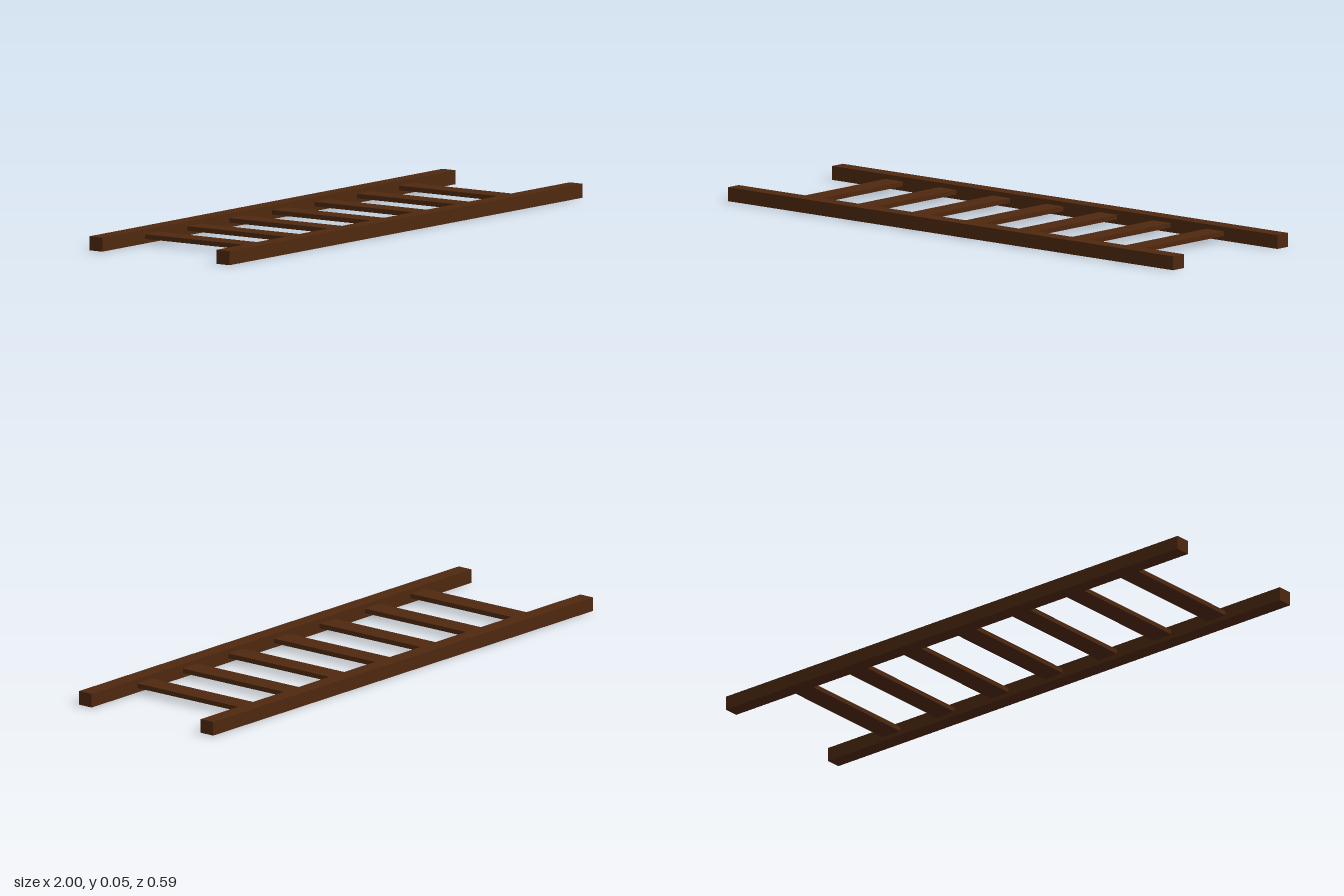
import * as THREE from 'three';

export function createModel() {
  const ladder = new THREE.Group();
  ladder.name = 'ladder';
  const wood = new THREE.MeshStandardMaterial({ color: 0x50290f });

  const addBeam = (name, size, position) => {
    const beam = new THREE.Mesh(new THREE.BoxGeometry(...size), wood);
    beam.name = name;
    beam.position.set(...position);
    ladder.add(beam);
  };

  // Two long side rails
  const railHeight = 0.048, railDepth = 0.055, railZ = 0.2685;
  addBeam('frontRail', [2, railHeight, railDepth], [0, railHeight / 2, railZ]);
  addBeam('backRail', [2, railHeight, railDepth], [0, railHeight / 2, -railZ]);

  // Seven flat rungs, ends set slightly into the rails
  const rungCount = 7, spacing = 0.24;
  for (let i = 0; i < rungCount; i++) {
    const x = (i - (rungCount - 1) / 2) * spacing;
    addBeam(`rung${i + 1}`, [0.078, 0.016, 0.49], [x, railHeight / 2, 0]);
  }
  return ladder;
}
